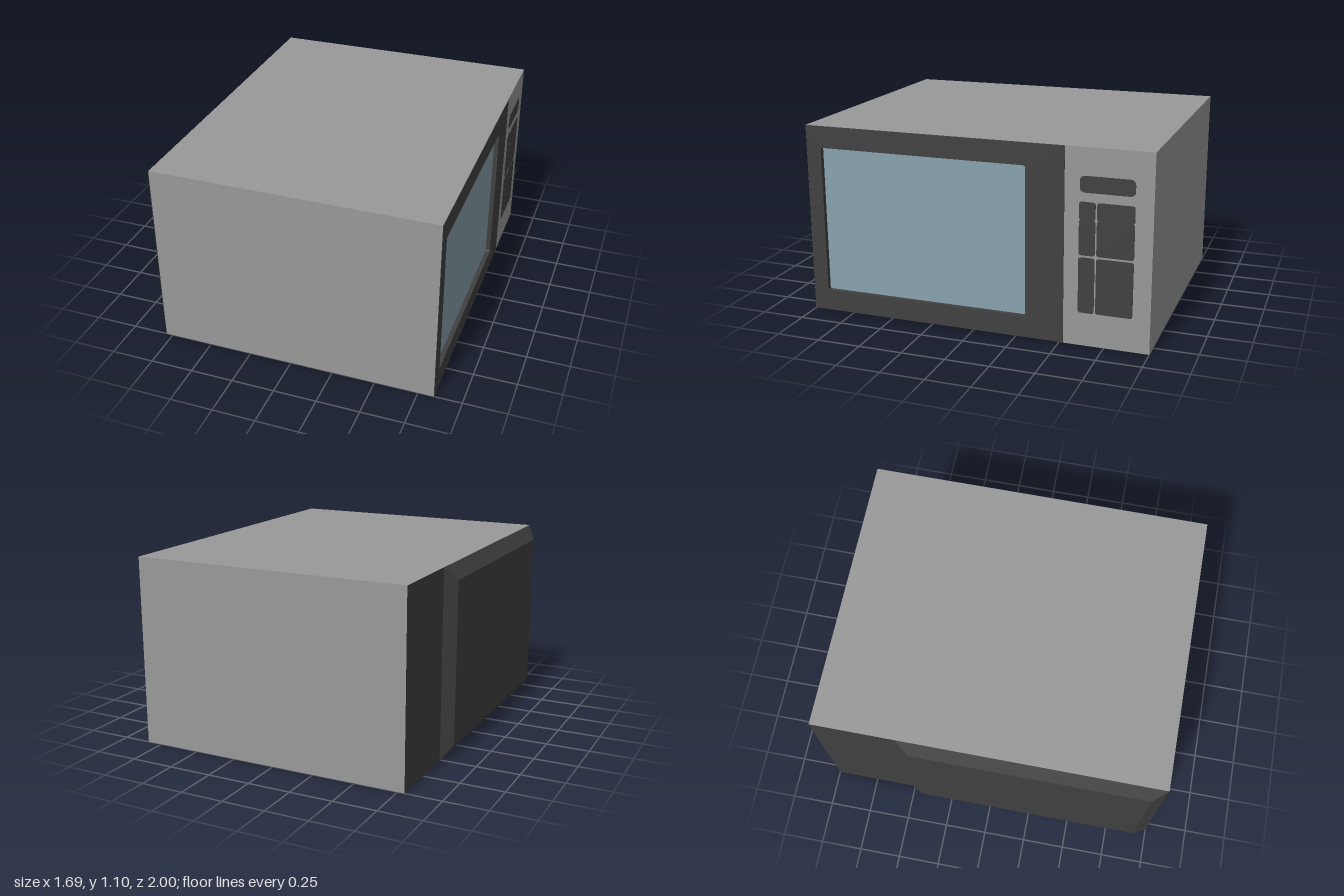
import * as THREE from 'three';

const paint = (name, color) => {
  const m = new THREE.MeshStandardMaterial({ color, side: THREE.DoubleSide });
  m.name = name;
  return m;
};

// Flat panels, each given by four corners counter-clockwise from outside
function panels(quads) {
  const pos = [], index = [];
  quads.forEach((q, i) => {
    pos.push(...q.flat());
    index.push(...[0, 1, 2, 0, 2, 3].map((k) => k + i * 4));
  });
  const g = new THREE.BufferGeometry();
  g.setAttribute('position', new THREE.Float32BufferAttribute(pos, 3));
  g.setIndex(index);
  g.computeVertexNormals();
  return g;
}

// Rounded rectangle on the +x side; u runs along -z, v is height
function roundRect(path, u0, u1, v0, v1, r) {
  path.moveTo(u0 + r, v0);
  path.lineTo(u1 - r, v0);
  path.quadraticCurveTo(u1, v0, u1, v0 + r);
  path.lineTo(u1, v1 - r);
  path.quadraticCurveTo(u1, v1, u1 - r, v1);
  path.lineTo(u0 + r, v1);
  path.quadraticCurveTo(u0, v1, u0, v1 - r);
  path.lineTo(u0, v0 + r);
  path.quadraticCurveTo(u0, v0, u0 + r, v0);
  return path;
}

// Extrude a shape outwards along +x, starting at x
function plate(shape, x, depth) {
  const g = new THREE.ExtrudeGeometry(shape, { depth, bevelEnabled: false, curveSegments: 4 });
  return g.rotateY(Math.PI / 2).translate(x, 0, 0);
}

export function createModel() {
  const model = new THREE.Group();
  model.name = 'microwave';
  const grey = paint('casing grey', 0x999999);
  const dark = paint('dark grey', 0x414141);
  const blue = paint('window blue', 0x88a2ae);
  const add = (name, geometry, material) => {
    const mesh = new THREE.Mesh(geometry, material);
    mesh.name = name;
    model.add(mesh);
  };

  const B = -0.79, F = 0.84, H = 1.1, S = -0.515;

  // Casing: top, two ends and control panel wall, open underneath
  add('casing', panels([
    [[B, H, 1], [F, H, 1], [F, H, -1], [B, H, -1]],
    [[B, 0, 1], [F, 0, 1], [F, H, 1], [B, H, 1]],
    [[F, 0, -1], [B, 0, -1], [B, H, -1], [F, H, -1]],
    [[F, 0, S], [F, 0, -1], [F, H, -1], [F, H, S]],
  ]), grey);

  // Back: flat strip beside a hollow bevelled bulge
  const base = [[B, 0, S], [B, 0, 1], [B, H, 1], [B, H, S]];
  const O = -0.845;
  const cap = [[O, 0.08, -0.44], [O, 0.08, 0.92], [O, 1.02, 0.92], [O, 1.02, -0.44]];
  const bevels = base.map((p, i) => {
    const j = (i + 1) % 4;
    return [p, base[j], cap[j], cap[i]];
  });
  add('backPanel', panels([
    [[B, 0, -1], [B, 0, S], [B, H, S], [B, H, -1]], cap, ...bevels,
  ]), dark);

  // Door frame with window opening
  const door = roundRect(new THREE.Shape(), -0.998, 0.522, 0.002, 1.098, 0.003);
  door.holes.push(roundRect(new THREE.Path(), -0.91, 0.305, 0.125, 0.975, 0.012));
  add('doorFrame', plate(door, 0.812, 0.03), dark);

  // Recessed glass
  add('window', plate(roundRect(new THREE.Shape(), -0.92, 0.315, 0.115, 0.985, 0.012), 0.811, 0.004), blue);

  // Display and keypad
  add('display', plate(roundRect(new THREE.Shape(), 0.605, 0.902, 0.858, 0.948, 0.03), 0.839, 0.004), dark);
  const columns = [[0.603, 0.692], [0.7, 0.903]];
  const rows = [[0.19, 0.502], [0.514, 0.71], [0.71, 0.808]];
  for (const [u0, u1] of columns) {
    for (const [v0, v1] of rows) {
      add('keypadButton', plate(roundRect(new THREE.Shape(), u0, u1, v0, v1, 0.015), 0.839, 0.004), dark);
    }
  }

  return model;
}
